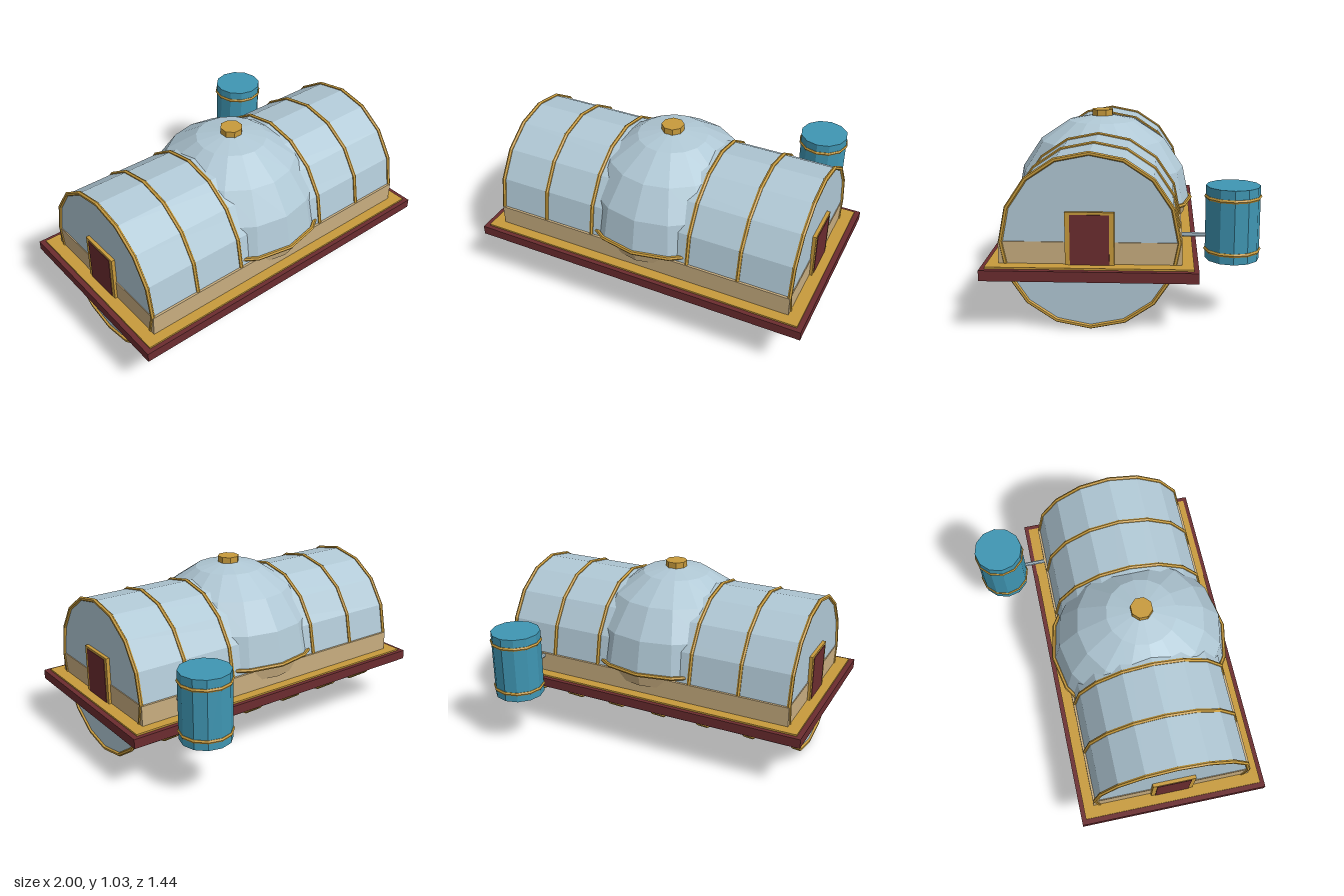
import * as THREE from 'three';

const mat = (name, color) => {
  const m = new THREE.MeshStandardMaterial({ color, flatShading: true });
  m.name = name;
  return m;
};

export function createModel() {
  const blue = mat('pale blue shell', 0xb0c8d5);
  const gold = mat('gold trim', 0xc89b3c);
  const tan = mat('sand wall', 0xc8ad7f);
  const red = mat('dark red', 0x6b2c2f);
  const teal = mat('teal tank', 0x3f96b3);

  const model = new THREE.Group();
  model.name = 'domedHall';
  const Z = 0.165; // long axis of the hall
  const Y = 0.467; // height of that axis

  const add = (name, geometry, material, x, y, z) => {
    const mesh = new THREE.Mesh(geometry, material);
    mesh.name = name;
    mesh.position.set(x, y, z);
    model.add(mesh);
    return mesh;
  };
  const box = (w, h, d) => new THREE.BoxGeometry(w, h, d);

  // Barrel-shaped hull, lying along x
  add('hull', new THREE.CylinderGeometry(0.455, 0.455, 1.79, 16).rotateZ(Math.PI / 2), blue, 0, Y, Z);

  // Hoops around the hull
  const hoop = new THREE.TorusGeometry(0.455, 0.012, 6, 16).rotateY(Math.PI / 2);
  for (const x of [-0.895, -0.6, -0.3, 0, 0.3, 0.6, 0.895]) add('hullRib', hoop, gold, x, Y, Z);

  // Deck, its gold inlay and the low wall
  add('deck', box(2, 0.055, 1.105), red, 0, 0.314, Z);
  add('deckInlay', box(1.94, 0.012, 1.055), gold, 0, 0.345, Z);
  add('lowWall', box(1.8, 0.126, 0.936), tan, 0, 0.403, Z);

  // Central dome with its base, ring and cap
  add('domeBase', new THREE.CylinderGeometry(0.503, 0.488, 0.08, 16), tan, 0, 0.445, Z);
  add('dome', new THREE.SphereGeometry(0.52, 16, 4, 0, Math.PI * 2, 0, Math.PI / 2), blue, 0, 0.483, Z);
  add('domeRing', new THREE.TorusGeometry(0.527, 0.012, 6, 16).rotateX(Math.PI / 2), gold, 0, 0.493, Z);
  add('domeCap', new THREE.CylinderGeometry(0.064, 0.064, 0.04, 8).rotateY(Math.PI / 8), gold, 0, 1.006, Z);

  // A framed door on each end
  for (const side of [-1, 1]) {
    add('doorFrame', box(0.03, 0.275, 0.25), gold, side * 0.9, 0.4875, Z);
    add('door', box(0.006, 0.262, 0.2), red, side * 0.915, 0.481, Z);
  }

  // Water tank behind, joined by a pipe
  const tx = 0.675, tz = -0.568;
  add('tank', new THREE.CylinderGeometry(0.143, 0.143, 0.392, 12), teal, tx, 0.523, tz);
  const band = new THREE.TorusGeometry(0.14, 0.011, 6, 12).rotateX(Math.PI / 2);
  for (const y of [0.377, 0.661]) add('tankBand', band, gold, tx, y, tz);
  add('pipe', new THREE.CylinderGeometry(0.012, 0.012, 0.2, 8).rotateX(Math.PI / 2), blue, tx, 0.45, -0.35);

  return model;
}
